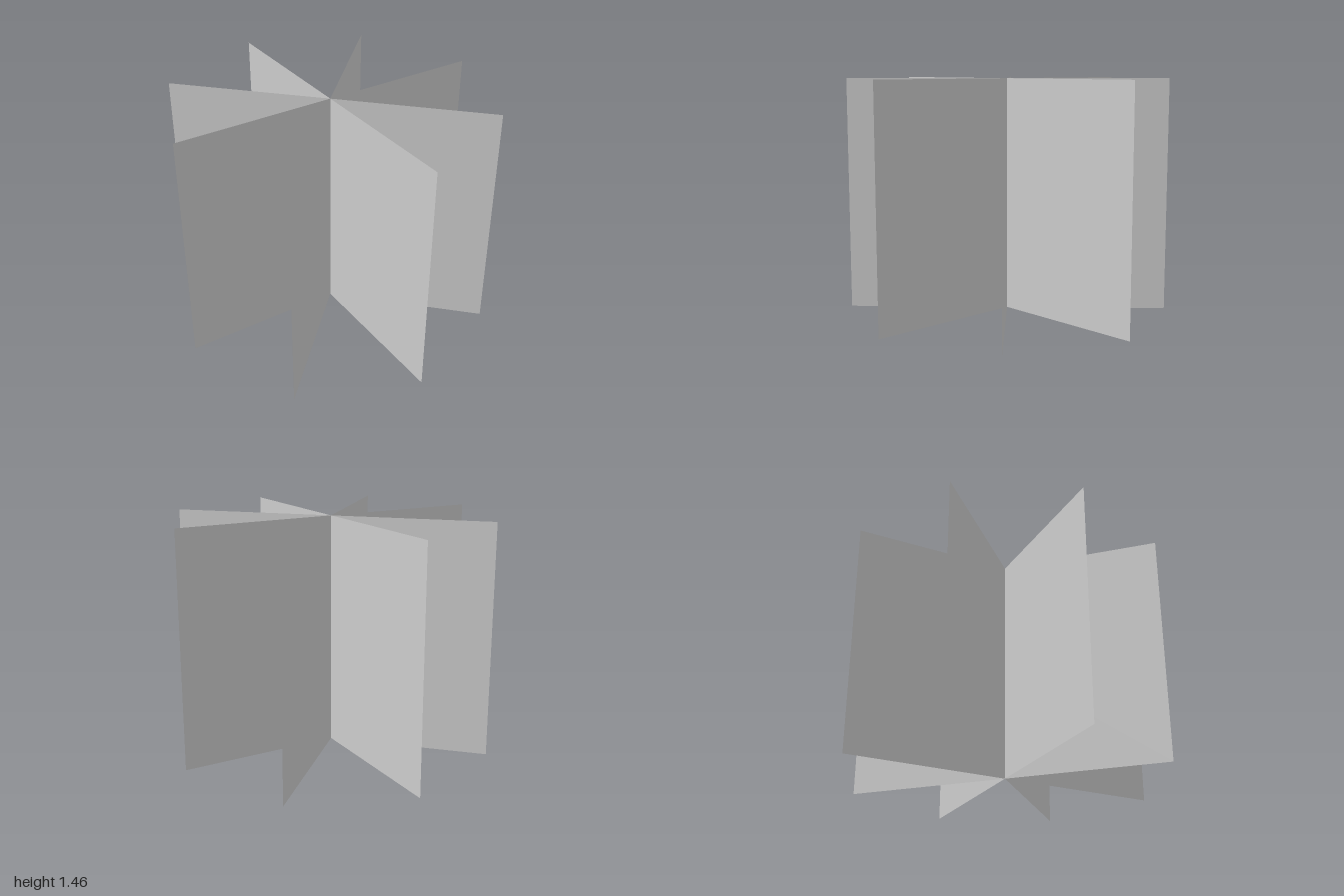
import * as THREE from 'three';

const WIDTH = 2, HEIGHT = 1.455, COUNT = 4;

export function createModel() {
  const group = new THREE.Group();
  group.name = 'crossedPanels';

  const material = new THREE.MeshStandardMaterial({ color: 0xcccccc, side: THREE.DoubleSide });
  const geometry = new THREE.PlaneGeometry(WIDTH, HEIGHT);
  geometry.translate(0, HEIGHT / 2, 0);

  // Upright thin panels crossing on the central axis, 45 degrees apart
  for (let i = 0; i < COUNT; i++) {
    const panel = new THREE.Mesh(geometry, material);
    panel.name = `panel${i + 1}`;
    panel.rotation.y = (i * Math.PI) / COUNT;
    group.add(panel);
  }
  return group;
}
